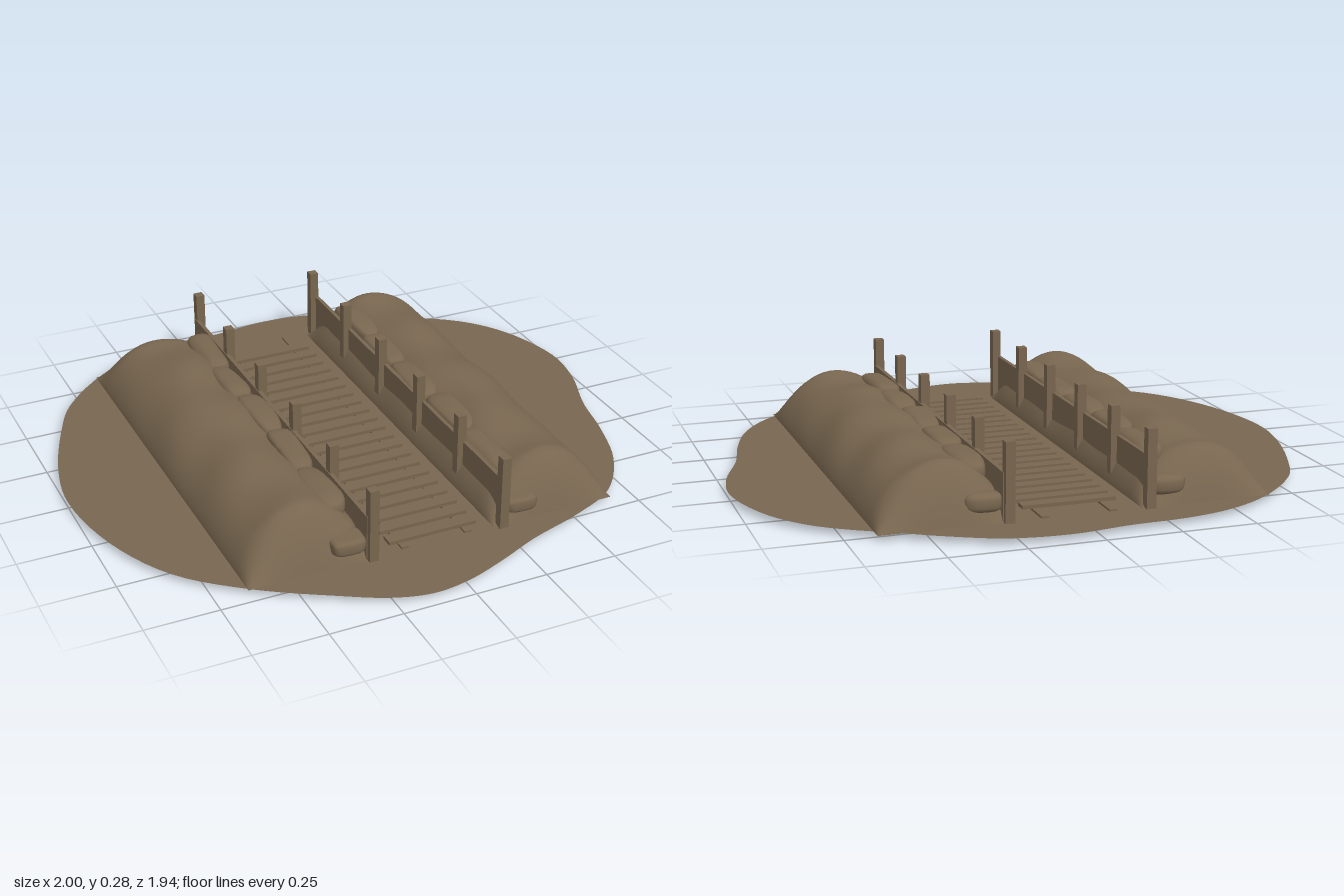
import * as THREE from 'three';

const earth = new THREE.MeshStandardMaterial({ color: 0x78664f, side: THREE.DoubleSide });
earth.name = 'earth brown';
const FLOOR = 0.02;

function add(parent, name, geometry, x = 0, y = 0, z = 0) {
  const mesh = new THREE.Mesh(geometry, earth);
  mesh.name = name;
  mesh.position.set(x, y, z);
  parent.add(mesh);
  return mesh;
}

function box(parent, name, x0, x1, y0, y1, z0, z1) {
  return add(parent, name, new THREE.BoxGeometry(x1 - x0, y1 - y0, z1 - z0),
    (x0 + x1) / 2, (y0 + y1) / 2, (z0 + z1) / 2);
}

// Thin irregular patch of ground
function groundGeometry() {
  const outline = [
    [0.10, -0.97], [0.30, -0.945], [0.47, -0.865], [0.57, -0.805], [0.81, -0.65], [0.93, -0.49],
    [1.0, -0.25], [0.98, -0.07], [0.91, 0.13], [0.87, 0.31], [0.80, 0.51], [0.67, 0.68],
    [0.51, 0.76], [0.30, 0.83], [0.14, 0.90], [0, 0.95], [-0.13, 0.967], [-0.26, 0.935],
    [-0.41, 0.855], [-0.64, 0.71], [-0.83, 0.535], [-0.95, 0.29], [-1.0, 0], [-0.97, -0.21],
    [-0.88, -0.47], [-0.80, -0.63], [-0.62, -0.81], [-0.45, -0.90], [-0.29, -0.935], [-0.10, -0.945],
  ].map(([x, z]) => new THREE.Vector3(x, -z, 0));
  const curve = new THREE.CatmullRomCurve3(outline, true);
  const shape = new THREE.Shape(curve.getPoints(150).slice(0, -1).map(p => new THREE.Vector2(p.x, p.y)));
  return new THREE.ShapeGeometry(shape).rotateX(-Math.PI / 2);
}

// Long earth bank: arched section, wavy crest, ends sloping to the ground
function bankGeometry(phase) {
  const z0 = -0.8, z1 = 0.717;
  const g = new THREE.PlaneGeometry(1, 1, 28, 80);
  const p = g.attributes.position;
  for (let i = 0; i < p.count; i++) {
    const a = (p.getX(i) + 0.5) * Math.PI;
    const z = z0 + (0.5 - p.getY(i)) * (z1 - z0);
    const d = Math.min(z - z0, z1 - z) / 0.13;
    const end = d < 1 ? Math.sin(Math.max(d, 0) * Math.PI / 2) ** 0.85 : 1;
    const crest = 0.178 + 0.007 * Math.cos(z * 17 + phase) + 0.006 * Math.sin(z * 9 + phase * 2);
    const ripple = 0.006 * Math.sin(z * 13 + a * 3 + phase) * Math.sin(a) ** 2;
    p.setXYZ(i, -0.2225 * Math.cos(a), end * (crest * Math.max(Math.sin(a), 0) ** 1.4 + ripple), z);
  }
  g.computeVertexNormals();
  return g;
}

// Soft, slightly lumpy sandbag filling a w x h x l block
function bagGeometry(w, h, l, seed) {
  const g = new THREE.SphereGeometry(1, 20, 14);
  const p = g.attributes.position;
  const swell = v => Math.sign(v) * Math.abs(v) ** 0.6;
  for (let i = 0; i < p.count; i++) {
    const x = p.getX(i), y = p.getY(i), z = p.getZ(i);
    const lump = 1 + 0.07 * Math.sin(z * 3 + seed * 2.1) + 0.04 * Math.sin(x * 4 + y * 3 + seed);
    p.setXYZ(i, swell(x) * w / 2 * lump, swell(y) * h / 2 * lump, swell(z) * l / 2);
  }
  g.computeVertexNormals();
  return g;
}

// One side of the trench: bank, revetment, posts and sandbags
function trenchSide(side, bankX, postX) {
  const group = new THREE.Group();
  group.name = side > 0 ? 'leftSide' : 'rightSide';
  add(group, 'earthBank', bankGeometry(side > 0 ? 0.6 : 1.7), bankX, FLOOR, 0);

  const wallX = postX + side * 0.012;
  box(group, 'revetmentWall', wallX - 0.007, wallX + 0.007, FLOOR, 0.18, -0.8, 0.717);
  for (let i = 0; i < 6; i++) {
    const z = -0.8 + i * 0.304;
    box(group, 'post', postX - 0.016, postX + 0.016, 0, 0.28, z - 0.016, z + 0.016);
  }

  // Row of bags along the top of the wall
  const breaks = [-0.69, -0.42, -0.19, 0.08, 0.345, 0.605];
  for (let i = 0; i < 5; i++) {
    const l = breaks[i + 1] - breaks[i];
    const x = postX + side * (0.068 + 0.008 * Math.sin(i * 2.3 + side));
    const bag = add(group, 'sandbag', bagGeometry(0.1, 0.08, l + 0.008, i + side),
      x, 0.15, (breaks[i] + breaks[i + 1]) / 2);
    bag.rotation.y = 0.04 * Math.sin(i * 1.9 + side);
  }
  // Low bags lying crosswise at both ends
  add(group, 'endSandbag', bagGeometry(0.13, 0.06, 0.1, 2), postX + side * 0.075, 0.08, 0.68);
  add(group, 'endSandbag', bagGeometry(0.12, 0.06, 0.085, 4), postX + side * 0.07, 0.08, -0.752);
  return group;
}

// Slatted walkway on two rails
function walkway() {
  const group = new THREE.Group();
  group.name = 'walkway';
  for (const x of [-0.102, 0.124]) {
    box(group, 'rail', x - 0.013, x + 0.013, 0.01, 0.027, -0.8, 0.71);
  }
  const count = 21, pitch = 0.0675;
  for (let i = 0; i < count; i++) {
    const z = -0.69 + i * pitch;
    box(group, 'slat', -0.146, 0.168, 0.026, 0.038, z - 0.022, z + 0.022);
  }
  return group;
}

export function createModel() {
  const model = new THREE.Group();
  model.name = 'trench';
  add(model, 'ground', groundGeometry(), 0, FLOOR, 0);
  model.add(trenchSide(-1, -0.422, -0.224), trenchSide(1, 0.436, 0.243), walkway());
  return model;
}
